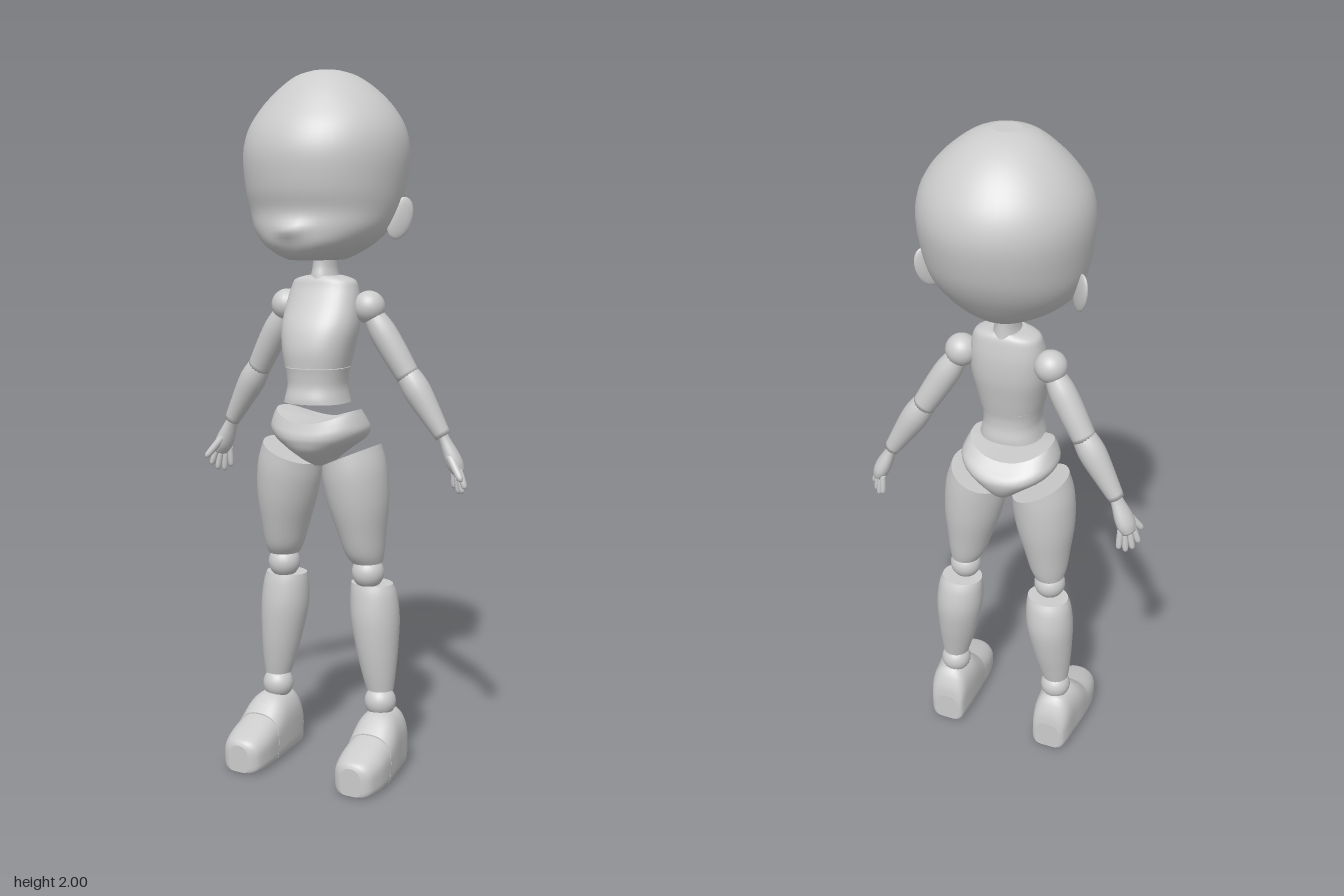
import * as THREE from 'three';

const material = new THREE.MeshStandardMaterial({ color: 0xcccccc, roughness: 0.7, side: THREE.DoubleSide });

function add(parent, name, geometry) {
  const mesh = new THREE.Mesh(geometry, material);
  mesh.name = name;
  parent.add(mesh);
  return mesh;
}

// Smooth interpolation between section rows
function spline(rows, t) {
  const i = Math.min(Math.floor(t), rows.length - 2), f = t - i;
  const a = rows[Math.max(i - 1, 0)], b = rows[i], c = rows[i + 1], d = rows[Math.min(i + 2, rows.length - 1)];
  return b.map((v, k) => {
    const m0 = (c[k] - a[k]) / 2, m1 = (d[k] - v) / 2, e = c[k] - v;
    return v + f * (m0 + f * (3 * e - 2 * m0 - m1 + f * (m0 + m1 - 2 * e)));
  });
}

// Loft over ascending sections [y, centreX, zBack, zFront, halfWidth],
// rounded by one exponent at the back and one at the front, with flat caps
function loft(rows, { back = 2, front = 2, tweak = null, n = 36, sub = 4 } = {}) {
  const pos = [], index = [], count = (rows.length - 1) * sub;
  const ring = (r) => {
    const [y, cx, z0, z1, rx] = r;
    for (let j = 0; j < n; j++) {
      const a = (j / n) * Math.PI * 2, s = Math.sin(a), c = Math.cos(a);
      const p = 2 / (c > 0 ? front : back);
      const v = new THREE.Vector3(
        cx + rx * Math.sign(s) * Math.abs(s) ** p, y,
        (z0 + z1) / 2 + ((z1 - z0) / 2) * Math.sign(c) * Math.abs(c) ** p);
      if (tweak) tweak(v);
      pos.push(v.x, v.y, v.z);
    }
  };
  for (let i = 0; i <= count; i++) ring(spline(rows, i / sub));
  for (let i = 0; i < count; i++) for (let j = 0; j < n; j++) {
    const a = i * n + j, b = i * n + (j + 1) % n;
    index.push(a, b, b + n, a, b + n, a + n);
  }
  for (const top of [false, true]) {
    const r = rows[top ? rows.length - 1 : 0], start = pos.length / 3;
    ring(r);
    const v = new THREE.Vector3(r[1], r[0], (r[2] + r[3]) / 2);
    if (tweak) tweak(v);
    pos.push(v.x, v.y, v.z);
    for (let j = 0; j < n; j++) {
      const a = start + j, b = start + (j + 1) % n;
      index.push(start + n, ...(top ? [a, b] : [b, a]));
    }
  }
  const g = new THREE.BufferGeometry();
  g.setAttribute('position', new THREE.Float32BufferAttribute(pos, 3));
  g.setIndex(index);
  g.computeVertexNormals();
  return g;
}

// Turned limb between two points; profile holds [radius, fraction of length]
function limb(parent, name, from, to, profile, flat = 1) {
  const a = new THREE.Vector3(...from), dir = new THREE.Vector3(...to).sub(a), len = dir.length();
  const curve = new THREE.SplineCurve(profile.map(([r, t]) => new THREE.Vector2(r, t * len)));
  const pts = curve.getPoints(14).map((p) => new THREE.Vector2(Math.max(p.x, 0), p.y));
  const g = new THREE.LatheGeometry([new THREE.Vector2(0, pts[0].y), ...pts, new THREE.Vector2(0, pts.at(-1).y)], 20);
  g.scale(flat, 1, 1);
  const mesh = add(parent, name, g);
  mesh.position.copy(a);
  mesh.quaternion.setFromUnitVectors(new THREE.Vector3(0, 1, 0), dir.normalize());
  return mesh;
}

function ball(parent, name, x, y, z, r) {
  add(parent, name, new THREE.SphereGeometry(r, 24, 16)).position.set(x, y, z);
}

function addArm(body, s) {
  const arm = new THREE.Group();
  arm.name = s > 0 ? 'leftArm' : 'rightArm';
  body.add(arm);
  const P = (x, y, z) => [s * x, y, z];
  ball(arm, 'shoulderJoint', s * 0.13, 1.355, -0.005, 0.046);
  limb(arm, 'upperArm', P(0.143, 1.33, -0.008), P(0.24, 1.165, -0.03),
    [[0.03, 0], [0.038, 0.25], [0.038, 0.6], [0.034, 1]]);
  ball(arm, 'elbowJoint', s * 0.238, 1.17, -0.03, 0.033);
  limb(arm, 'forearm', P(0.232, 1.18, -0.029), P(0.343, 1.0, -0.042),
    [[0.03, 0], [0.037, 0.15], [0.039, 0.35], [0.031, 0.7], [0.023, 1]]);
  // Palm and digits
  limb(arm, 'palm', P(0.338, 1.008, -0.042), P(0.388, 0.9, -0.05),
    [[0.02, 0], [0.022, 0.2], [0.03, 0.55], [0.031, 0.8], [0.023, 1]], 0.75);
  const fingers = [
    [0.366, 0.912, -0.066, 0.366, 0.85, -0.072], [0.376, 0.908, -0.058, 0.384, 0.838, -0.062],
    [0.386, 0.908, -0.048, 0.4, 0.842, -0.048], [0.394, 0.912, -0.037, 0.413, 0.858, -0.034]];
  for (const f of fingers) limb(arm, 'finger', P(...f.slice(0, 3)), P(...f.slice(3)),
    [[0.008, 0], [0.009, 0.5], [0.008, 0.88], [0.003, 1]]);
  limb(arm, 'thumb', P(0.366, 0.95, -0.03), P(0.414, 0.885, -0.003),
    [[0.012, 0], [0.011, 0.5], [0.009, 0.88], [0.003, 1]]);
}

function addLeg(body, s) {
  const leg = new THREE.Group();
  leg.name = s > 0 ? 'leftLeg' : 'rightLeg';
  body.add(leg);
  const side = (rows) => rows.map(([y, x, ...rest]) => [y, s * x, ...rest]);
  // Thigh with a slanted top
  add(leg, 'thigh', loft(side([
    [0.63, 0.135, -0.04, 0.06, 0.045], [0.66, 0.13, -0.048, 0.08, 0.056], [0.72, 0.124, -0.058, 0.1, 0.068],
    [0.8, 0.116, -0.07, 0.122, 0.084], [0.88, 0.106, -0.075, 0.134, 0.088], [0.94, 0.095, -0.075, 0.134, 0.079]]), {
    tweak: (v) => { v.y += 0.43 * (v.x * s - 0.095) * Math.max(0, (v.y - 0.63) / 0.31) ** 2; },
  }));
  ball(leg, 'kneeJoint', s * 0.137, 0.598, 0.008, 0.047);
  add(leg, 'shin', loft(side([
    [0.25, 0.169, -0.05, 0.03, 0.04], [0.3, 0.164, -0.062, 0.04, 0.05], [0.37, 0.157, -0.078, 0.05, 0.061],
    [0.46, 0.149, -0.09, 0.055, 0.071], [0.53, 0.144, -0.08, 0.047, 0.069], [0.563, 0.14, -0.065, 0.038, 0.062]])));
  ball(leg, 'ankleJoint', s * 0.17, 0.212, -0.01, 0.046);
  // Shoe lofted from heel to toe: rows are [z, x, -top, 0, halfWidth]
  const shoe = (name, rows) => add(leg, name,
    loft(side(rows), { back: 2.4, front: 5 }).rotateX(Math.PI / 2).translate(0, 0.003, 0));
  shoe('heel', [
    [-0.09, 0.173, -0.1, -0.005, 0.04], [-0.082, 0.174, -0.14, 0, 0.052], [-0.055, 0.176, -0.185, 0, 0.06],
    [-0.01, 0.177, -0.19, 0, 0.065], [0.04, 0.18, -0.182, 0, 0.069], [0.09, 0.182, -0.143, 0, 0.07]]);
  shoe('toe', [
    [0.09, 0.182, -0.139, 0, 0.069], [0.14, 0.182, -0.122, 0, 0.069], [0.185, 0.181, -0.105, 0, 0.06],
    [0.203, 0.181, -0.096, 0, 0.046], [0.21, 0.181, -0.084, -0.004, 0.032]]);
}

export function createModel() {
  const body = new THREE.Group();
  body.name = 'jointedDoll';

  // Head with a short chin and a small nose
  add(body, 'head', loft([
    [1.487, 0, -0.05, 0.16, 0.07], [1.5, 0, -0.082, 0.192, 0.1], [1.53, 0, -0.122, 0.214, 0.15],
    [1.57, 0, -0.156, 0.216, 0.188], [1.62, 0, -0.19, 0.213, 0.21], [1.68, 0, -0.216, 0.229, 0.223],
    [1.77, 0, -0.234, 0.235, 0.232], [1.84, 0, -0.222, 0.214, 0.221], [1.9, 0, -0.187, 0.172, 0.187],
    [1.95, 0, -0.14, 0.128, 0.138], [1.985, 0, -0.085, 0.085, 0.087], [2, 0, -0.035, 0.04, 0.04]], {
    n: 48,
    tweak: (v) => {
      if (v.z > 0.1) v.z += 0.02 * Math.exp(-((v.x / 0.04) ** 2) - ((v.y - 1.568) / 0.022) ** 2);
    },
  }));

  add(body, 'neck', loft([
    [1.42, 0, -0.045, 0.066, 0.045], [1.445, 0, -0.042, 0.062, 0.036],
    [1.47, 0, -0.04, 0.056, 0.032], [1.51, 0, -0.04, 0.055, 0.032]]));
  add(body, 'chest', loft([
    [1.19, 0, -0.035, 0.147, 0.09], [1.24, 0, -0.045, 0.148, 0.1], [1.3, 0, -0.055, 0.132, 0.11],
    [1.36, 0, -0.056, 0.098, 0.108], [1.405, 0, -0.05, 0.075, 0.1], [1.43, 0, -0.044, 0.066, 0.088],
    [1.442, 0, -0.036, 0.058, 0.05]], { front: 2.3, back: 2.4 }));
  add(body, 'waist', loft([
    [1.09, 0, -0.035, 0.148, 0.092], [1.105, 0, -0.034, 0.147, 0.088], [1.135, 0, -0.028, 0.14, 0.082],
    [1.165, 0, -0.028, 0.141, 0.084], [1.188, 0, -0.032, 0.144, 0.088]], { front: 2.3, back: 2.4 }));

  // Hips: narrow to the crotch, with a top edge that dips at the middle
  add(body, 'hips', loft([
    [0.905, 0, -0.03, 0.06, 0.02], [0.925, 0, -0.06, 0.105, 0.042], [0.955, 0, -0.082, 0.142, 0.082],
    [0.985, 0, -0.09, 0.155, 0.125], [1.01, 0, -0.082, 0.155, 0.143], [1.035, 0, -0.062, 0.149, 0.136],
    [1.06, 0, -0.045, 0.143, 0.122]], {
    front: 2.3, back: 2.3,
    tweak: (v) => {
      const k = Math.max(0, (v.y - 0.98) / 0.08);
      v.y += k * (0.011 - 0.035 * Math.max(0, 1 - (v.x / 0.12) ** 2));
    },
  }));

  for (const s of [1, -1]) {
    // Flared disc ears
    const ear = add(body, s > 0 ? 'leftEar' : 'rightEar', new THREE.SphereGeometry(1, 24, 16));
    ear.scale.set(0.011, 0.06, 0.036);
    ear.position.set(s * 0.213, 1.6, -0.026);
    ear.rotation.set(-0.35, -s * 0.75, 0, 'YXZ');
    addArm(body, s);
    addLeg(body, s);
  }
  return body;
}
